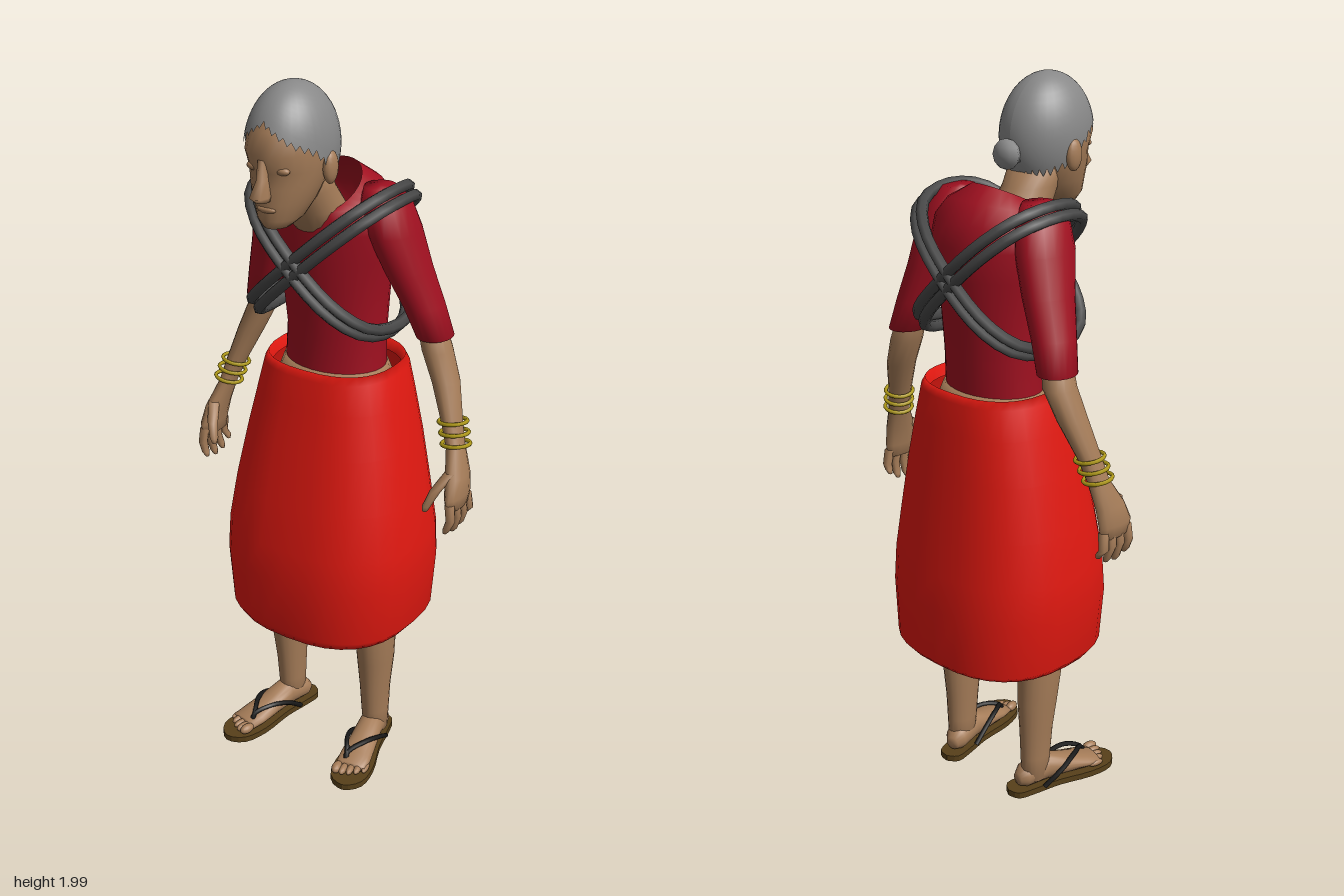
import * as THREE from 'three';

const mat = (color, side = THREE.FrontSide) => new THREE.MeshStandardMaterial({ color, side });
const SKIN = mat(0xa57c58), HAIR = mat(0x888888), SHIRT = mat(0xa01020, THREE.DoubleSide);
const SKIRT = mat(0xe01810, THREE.DoubleSide), GOLD = mat(0xb09a18), SOLE = mat(0x57401a);
const BLACK = mat(0x181818), STRAP = mat(0x484848);

const spow = (v, e) => Math.sign(v) * Math.abs(v) ** (2 / e);

// Skin over level oval rings [x, y, z, rx, rz, slope], listed from bottom to top
function loft(rings, { n = 20, e = 2, cap = true } = {}) {
  const pos = [], idx = [];
  for (const [x, y, z, rx, rz, slope = 0] of rings)
    for (let j = 0; j < n; j++) {
      const a = (j / n) * Math.PI * 2, dz = rz * spow(Math.sin(a), e);
      pos.push(x + rx * spow(Math.cos(a), e), y + slope * dz, z + dz);
    }
  for (let i = 0; i < rings.length - 1; i++)
    for (let j = 0; j < n; j++) {
      const a = i * n + j, b = i * n + ((j + 1) % n);
      idx.push(a, a + n, b, b, a + n, b + n);
    }
  if (cap) {
    const last = rings.length - 1, c = pos.length / 3;
    pos.push(...rings[0].slice(0, 3), ...rings[last].slice(0, 3));
    for (let j = 0; j < n; j++) {
      const k = (j + 1) % n;
      idx.push(c, j, k, c + 1, last * n + k, last * n + j);
    }
  }
  const g = new THREE.BufferGeometry();
  g.setAttribute('position', new THREE.Float32BufferAttribute(pos, 3));
  g.setIndex(idx);
  g.computeVertexNormals();
  return g;
}

function add(parent, name, geo, material, p = [0, 0, 0], s = [1, 1, 1]) {
  const m = new THREE.Mesh(geo, material);
  m.name = name;
  m.position.set(...p);
  m.scale.set(...s);
  parent.add(m);
  return m;
}

const ball = new THREE.SphereGeometry(1, 14, 10);
const tube = (pts, r, seg = 20, closed = false) => new THREE.TubeGeometry(
  new THREE.CatmullRomCurve3(pts.map(p => new THREE.Vector3(...p)), closed), seg, r, 6, closed);

// Hair shell: each meridian of a unit sphere is shortened to end at the hairline
function hairGeometry() {
  const line = [[0, 1.915], [0.7, 1.865], [1.25, 1.835], [1.7, 1.77], [2.2, 1.75], [3.2, 1.74]];
  const g = new THREE.SphereGeometry(1, 36, 14), p = g.attributes.position, uv = g.attributes.uv;
  for (let i = 0; i < p.count; i++) {
    const phi = uv.getX(i) * Math.PI * 2 - Math.PI, a = Math.abs(phi);
    const k = Math.max(1, line.findIndex(q => q[0] >= a));
    const [a0, y0] = line[k - 1], [a1, y1] = line[k];
    const edge = y0 + (y1 - y0) * (a - a0) / (a1 - a0);
    const t = (1 - uv.getY(i)) * Math.acos((edge - 1.84) / 0.16);
    p.setXYZ(i, 0.109 * Math.sin(t) * Math.sin(phi), 1.84 + 0.16 * Math.cos(t),
      0.135 + 0.138 * Math.sin(t) * Math.cos(phi));
  }
  // phi runs the other way round from the default sphere, so turn the faces over
  const ix = g.index.array;
  const a = g.attributes.position, A = new THREE.Vector3(), B = new THREE.Vector3(), C = new THREE.Vector3();
  for (let i = 0; i < ix.length; i += 3) {
    A.fromBufferAttribute(a, ix[i]); B.fromBufferAttribute(a, ix[i + 1]); C.fromBufferAttribute(a, ix[i + 2]);
    const out = A.clone().sub(new THREE.Vector3(0, 1.84, 0.135));
    if (B.sub(A).cross(C.sub(A)).dot(out) < 0) [ix[i + 1], ix[i + 2]] = [ix[i + 2], ix[i + 1]];
  }
  g.computeVertexNormals();
  return g;
}

function buildHead(root) {
  const head = new THREE.Group();
  head.name = 'head';
  root.add(head);
  add(head, 'neck', loft([[0, 1.6, 0, 0.08, 0.085], [0, 1.66, 0.035, 0.075, 0.085],
    [0, 1.72, 0.075, 0.068, 0.08], [0, 1.79, 0.11, 0.07, 0.08]]), SKIN);
  add(head, 'face', loft([[0, 1.657, 0.2, 0.032, 0.042], [0, 1.68, 0.185, 0.055, 0.068],
    [0, 1.72, 0.165, 0.072, 0.09], [0, 1.76, 0.155, 0.088, 0.1], [0, 1.8, 0.145, 0.095, 0.11],
    [0, 1.845, 0.14, 0.102, 0.133], [0, 1.9, 0.135, 0.096, 0.125], [0, 1.95, 0.135, 0.07, 0.09],
    [0, 1.98, 0.135, 0.04, 0.05]], { n: 24 }), SKIN);
  add(head, 'nose', loft([[0, 1.733, 0.264, 0.02, 0.022], [0, 1.746, 0.272, 0.023, 0.033],
    [0, 1.785, 0.26, 0.013, 0.023], [0, 1.835, 0.262, 0.01, 0.012]], { n: 8 }), SKIN);
  add(head, 'lips', ball, SKIN, [0, 1.708, 0.248], [0.028, 0.009, 0.01]);
  for (const s of [-1, 1]) {
    add(head, 'eyelid', ball, SKIN, [s * 0.042, 1.808, 0.238], [0.02, 0.011, 0.013]);
    add(head, 'ear', ball, SKIN, [s * 0.104, 1.8, 0.125], [0.016, 0.042, 0.026]);
  }
  add(head, 'hair', hairGeometry(), HAIR).material = mat(0x888888, THREE.DoubleSide);
  add(head, 'hairBun', new THREE.SphereGeometry(1, 8, 6), HAIR, [0, 1.808, -0.014], [0.042, 0.04, 0.029]);
  add(head, 'bunTie', new THREE.TorusGeometry(0.024, 0.01, 6, 10), HAIR, [0, 1.808, 0.012]);
}

function buildArm(root, s) {
  const arm = new THREE.Group();
  arm.name = s > 0 ? 'leftArm' : 'rightArm';
  root.add(arm);
  const side = rings => rings.map(([x, ...r]) => [s * x, ...r]);
  add(arm, 'sleeve', loft(side([[0.272, 1.315, -0.115, 0.048, 0.057], [0.245, 1.4, -0.1, 0.052, 0.064],
    [0.207, 1.5, -0.08, 0.058, 0.077], [0.177, 1.6, -0.06, 0.062, 0.09],
    [0.155, 1.675, -0.05, 0.06, 0.08], [0.14, 1.715, -0.045, 0.04, 0.045]])), SHIRT);
  add(arm, 'forearm', loft(side([[0.402, 0.885, -0.034, 0.017, 0.052], [0.402, 0.92, -0.033, 0.023, 0.058],
    [0.394, 0.97, -0.045, 0.026, 0.05], [0.372, 1.04, -0.068, 0.023, 0.034], [0.352, 1.1, -0.08, 0.027, 0.035],
    [0.315, 1.2, -0.105, 0.036, 0.044], [0.28, 1.28, -0.115, 0.04, 0.048],
    [0.26, 1.36, -0.108, 0.036, 0.042]]), { n: 14 }), SKIN);
  [[0.015, 0.82], [-0.024, 0.81], [-0.058, 0.815], [-0.088, 0.835]].forEach(([z, y], i) => {
    const z0 = 0.01 - i * 0.03;
    add(arm, 'finger', loft(side([[0.395, y, z, 0.006, 0.006], [0.4, y + 0.012, z, 0.011, 0.011],
      [0.41, 0.86, (z + z0) / 2, 0.013, 0.013], [0.404, 0.905, z0, 0.014, 0.014]]), { n: 8 }), SKIN);
  });
  add(arm, 'thumb', loft(side([[0.347, 0.885, 0.04, 0.007, 0.007], [0.35, 0.9, 0.038, 0.012, 0.012],
    [0.365, 0.94, 0.022, 0.015, 0.015], [0.388, 0.985, -0.015, 0.016, 0.018]]), { n: 8 }), SKIN);
  // Three bangles around the wrist
  for (let i = 0; i < 3; i++) {
    const b = add(arm, 'bangle', new THREE.TorusGeometry(0.038, 0.0055, 6, 18), GOLD,
      [s * (0.372 - i * 0.009), 1.045 + i * 0.028, -0.069 - i * 0.006]);
    b.rotation.set(Math.PI / 2 - 0.12, s * 0.15, 0);
  }
}

function buildLeg(root, s) {
  const leg = new THREE.Group();
  leg.name = s > 0 ? 'leftLeg' : 'rightLeg';
  root.add(leg);
  add(leg, 'shin', loft([[0.148, 0.045, -0.055, 0.033, 0.042], [0.148, 0.12, -0.052, 0.037, 0.048],
    [0.148, 0.2, -0.05, 0.041, 0.053], [0.15, 0.3, -0.047, 0.05, 0.063], [0.152, 0.44, -0.037, 0.057, 0.074],
    [0.14, 0.6, -0.04, 0.065, 0.085], [0.12, 1.0, -0.06, 0.09, 0.11]].map(([x, ...r]) => [s * x, ...r])), SKIN);
  const foot = new THREE.Group();
  foot.name = 'foot';
  foot.position.set(s * 0.146, 0, -0.05);
  foot.rotation.y = s * 0.22;
  leg.add(foot);
  add(foot, 'footBody', loft([[0, -0.06, -0.05, 0.02, 0.018], [0, -0.04, -0.058, 0.034, 0.034],
    [0, 0.03, -0.066, 0.036, 0.042], [0, 0.09, -0.055, 0.041, 0.031], [0, 0.16, -0.044, 0.047, 0.02],
    [0, 0.2, -0.04, 0.045, 0.014]]).rotateX(Math.PI / 2), SKIN);
  [0.014, 0.011, 0.01, 0.01, 0.009].forEach((r, i) =>
    add(foot, 'toe', ball, SKIN, [s * (-0.035 + i * 0.019), 0.028 + r, 0.218 - i * i * 0.002], [r, r, 0.024]));
  // Sandal sole, drawn lying flat with the toe at +z
  const outline = [[0, -0.092], [0.032, -0.075], [0.038, -0.02], [0.04, 0.06], [0.056, 0.16], [0.047, 0.235],
    [0, 0.268], [-0.047, 0.235], [-0.056, 0.16], [-0.04, 0.06], [-0.038, -0.02], [-0.032, -0.075], [0, -0.092]];
  const sole = new THREE.Shape().setFromPoints(
    new THREE.SplineCurve(outline.map(([x, z]) => new THREE.Vector2(x, -z))).getPoints(36));
  add(foot, 'sandalSole', new THREE.ExtrudeGeometry(sole, { depth: 0.018, bevelEnabled: false })
    .rotateX(-Math.PI / 2), SOLE, [0, 0.008, 0]);
  for (const k of [-1, 1])
    add(foot, 'sandalStrap', tube([[-s * 0.02, 0.025, 0.19], [-s * 0.02, 0.065, 0.175],
      [-s * 0.01 + k * 0.028, 0.08, 0.125], [k * 0.044, 0.06, 0.06], [k * 0.04, 0.022, 0.005]], 0.007), BLACK);
}

export function createModel() {
  const root = new THREE.Group();
  root.name = 'elderlyWoman';
  buildHead(root);
  add(root, 'blouse', loft([[0, 1.185, -0.06, 0.145, 0.112], [0, 1.3, -0.065, 0.14, 0.115],
    [0, 1.42, -0.062, 0.148, 0.128], [0, 1.52, -0.062, 0.162, 0.143], [0, 1.6, -0.06, 0.178, 0.147],
    [0, 1.65, -0.052, 0.172, 0.139, -0.08], [0, 1.685, -0.038, 0.142, 0.122, -0.22],
    [0, 1.698, -0.008, 0.088, 0.102, -0.5]], { n: 28, cap: false }), SHIRT);
  add(root, 'waist', loft([[0, 1.0, -0.06, 0.17, 0.14], [0, 1.16, -0.062, 0.166, 0.138],
    [0, 1.208, -0.062, 0.148, 0.118]]), SKIN);
  // Skirt with a rolled hem, open below
  add(root, 'skirt', loft([[0, 0.47, -0.05, 0.245, 0.22], [0, 0.442, -0.05, 0.256, 0.238, -0.02],
    [0, 0.465, -0.048, 0.275, 0.253, 0.01], [0, 0.62, -0.046, 0.289, 0.254], [0, 0.72, -0.047, 0.286, 0.244],
    [0, 0.85, -0.05, 0.266, 0.225], [0, 1.0, -0.058, 0.238, 0.2], [0, 1.12, -0.063, 0.211, 0.18],
    [0, 1.2, -0.065, 0.192, 0.167], [0, 1.222, -0.065, 0.18, 0.157], [0, 1.19, -0.065, 0.17, 0.148]],
  { n: 32, e: 2.5, cap: false }), SKIRT);
  for (const s of [-1, 1]) {
    buildArm(root, s);
    buildLeg(root, s);
    // Crossed carrying band: two cords side by side on a slanted loop
    for (const k of [-0.016, 0.016]) {
      const pts = Array.from({ length: 12 }, (_, i) => {
        const a = (i / 12) * Math.PI * 2, c = spow(Math.cos(a), 2.5), d = spow(Math.sin(a), 2.5);
        return [s * (0.193 * c - 0.7 * k), 1.52 + 0.178 * c + 0.72 * k, -0.043 + 0.187 * d];
      });
      add(root, 'crossBand', tube(pts, 0.016, 36, true), STRAP);
    }
  }
  return root;
}
